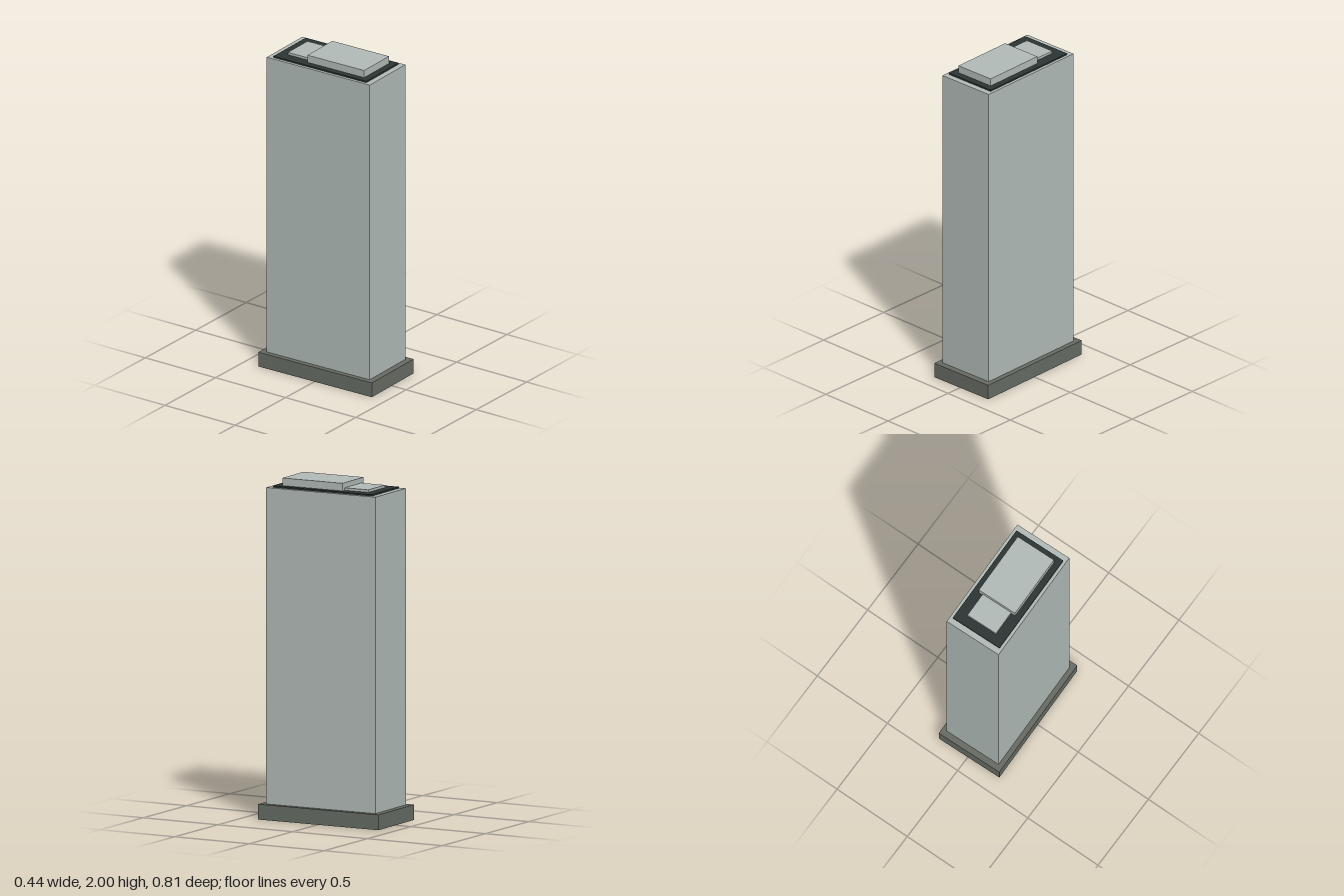
import * as THREE from 'three';
import { mergeGeometries } from 'three/addons/utils/BufferGeometryUtils.js';

export function createModel() {
  const material = (name, color) => {
    const m = new THREE.MeshStandardMaterial({ color });
    m.name = name;
    return m;
  };
  const concrete = material('pale concrete', 0xb0bab6);
  const stone = material('dark stone', 0x666b63);
  const tar = material('roof tar', 0x2c3533);
  const amber = material('amber glass', 0x9a7442);

  const model = new THREE.Group();
  model.name = 'officeTower';
  const tower = new THREE.Group();
  tower.name = 'tower';
  tower.rotation.y = 0.021;
  model.add(tower);

  // Box standing on height y
  const block = (w, h, d, x, y, z) =>
    new THREE.BoxGeometry(w, h, d).translate(x, y + h / 2, z);
  const add = (name, geometry, mat) => {
    const mesh = new THREE.Mesh(geometry, mat);
    mesh.name = name;
    tower.add(mesh);
  };

  const W = 0.364, D = 0.723, TOP = 1.946, BASE = 0.09;
  const RELIEF = 0.005, FIN = 0.007, BAND = 0.008;
  const floors = 37, baysX = 7, baysZ = 14;
  const pitch = TOP / floors, bayX = W / baysX, bayZ = D / baysZ;

  // Base and wall core
  add('base', block(0.425, BASE, 0.797, 0, 0, 0), stone);
  add('wallCore', block(W - 2 * RELIEF, TOP - BASE, D - 2 * RELIEF, 0, BASE, 0), concrete);

  // Floor bands run right round the tower
  const bands = [];
  for (let i = 2; i <= floors; i++) {
    const y = i === floors ? TOP - BAND : i * pitch - BAND / 2;
    bands.push(block(W, BAND, D, 0, y, 0));
  }
  add('floorBands', mergeGeometries(bands), concrete);

  // Vertical fins pass through the core and show on opposite faces
  const fins = [];
  for (let i = 0; i <= baysX; i++) {
    const x = THREE.MathUtils.clamp(-W / 2 + i * bayX, -(W - FIN) / 2, (W - FIN) / 2);
    fins.push(block(FIN, TOP - BASE, D, x, BASE, 0));
  }
  for (let i = 0; i <= baysZ; i++) {
    const z = THREE.MathUtils.clamp(-D / 2 + i * bayZ, -(D - FIN) / 2, (D - FIN) / 2);
    fins.push(block(W, TOP - BASE, FIN, 0, BASE, z));
  }
  add('verticalFins', mergeGeometries(fins), concrete);

  // Paired narrow panes in every second bay and floor of the long sides
  const panes = [];
  for (let f = 3; f < floors; f += 2) {
    for (let b = 0; b < baysZ; b += 2) {
      const z = -D / 2 + (b + 0.5) * bayZ;
      for (const side of [-1, 1]) {
        for (const offset of [-0.008, 0.008]) {
          panes.push(block(0.003, 0.032, 0.009,
            side * (W / 2 - RELIEF + 0.0005), (f + 0.5) * pitch - 0.016, z + offset));
        }
      }
    }
  }
  add('windowPanes', mergeGeometries(panes), amber);

  // Roof deck and rooftop rooms
  add('roofDeck', block(0.328, 0.009, 0.652, 0, TOP, 0), tar);
  add('penthouse', block(0.254, 0.05, 0.398, 0, 1.95, 0.086), concrete);
  add('plantRoom', block(0.2, 0.02, 0.17, 0, 1.95, -0.184), concrete);

  return model;
}
